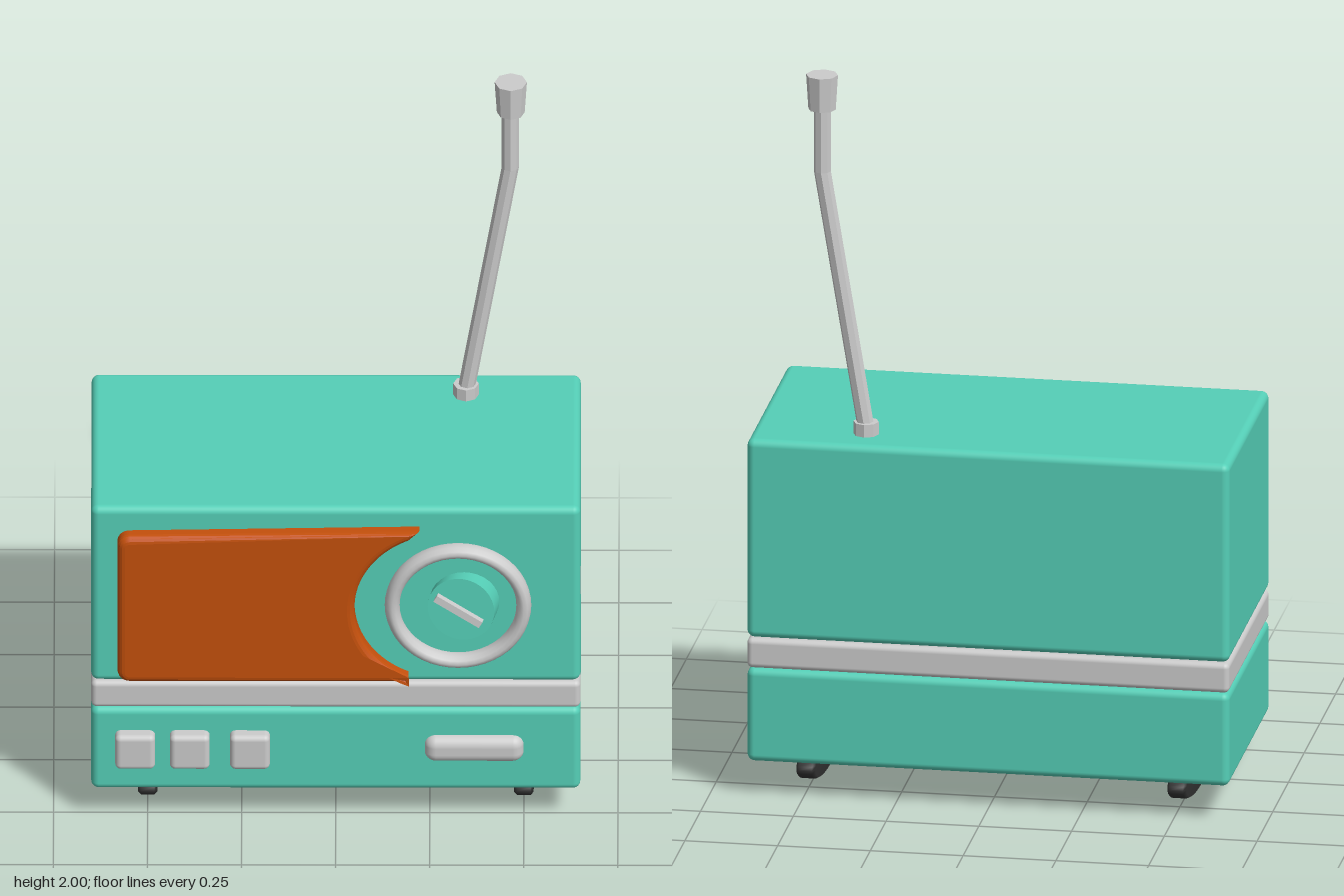
import * as THREE from 'three';
import { RoundedBoxGeometry } from 'three/addons/geometries/RoundedBoxGeometry.js';

const material = (color, flatShading = false) => new THREE.MeshStandardMaterial({ color, flatShading });

export function createModel() {
  const group = new THREE.Group();
  const teal = material(0x55cfb7);
  const orange = material(0xc4500c);
  const grey = material(0xcccccc);
  const greyFlat = material(0xcccccc, true);
  const dark = material(0x333333);

  const add = (name, geometry, mat, x = 0, y = 0, z = 0, parent = group) => {
    const mesh = new THREE.Mesh(geometry, mat);
    mesh.name = name;
    mesh.position.set(x, y, z);
    parent.add(mesh);
    return mesh;
  };
  // Rounded box given by its limits on each axis
  const box = (name, [x0, x1], [y0, y1], [z0, z1], r, mat) =>
    add(name, new RoundedBoxGeometry(x1 - x0, y1 - y0, z1 - z0, 4, r), mat,
      (x0 + x1) / 2, (y0 + y1) / 2, (z0 + z1) / 2);

  // Casing: upper box, trim band and lower box
  const wide = [-0.65, 0.65], deep = [-0.36, 0.29];
  box('upperCase', wide, [0.445, 1.0], deep, 0.02, teal);
  box('trimBand', wide, [0.36, 0.443], deep, 0.015, grey);
  box('lowerCase', wide, [0.098, 0.359], deep, 0.02, teal);

  // Speaker panel with a circular bite for the dial
  const bevel = 0.02;
  const x0 = -0.58 + bevel, x1 = 0.205, y0 = 0.465 + bevel, y1 = 0.93 - bevel;
  const cx = 0.287, cy = 0.6975, r = 0.237 + bevel, c = 0.015;
  const a = Math.atan2(y1 - cy, x1 - cx);
  const panel = new THREE.Shape();
  panel.moveTo(x0 + c, y0);
  panel.lineTo(cx + r * Math.cos(a), y0);
  panel.absarc(cx, cy, r, 2 * Math.PI - a, a, true);
  panel.lineTo(x0 + c, y1);
  panel.quadraticCurveTo(x0, y1, x0, y1 - c);
  panel.lineTo(x0, y0 + c);
  panel.quadraticCurveTo(x0, y0, x0 + c, y0);
  add('speakerPanel', new THREE.ExtrudeGeometry(panel, {
    depth: 0.03, bevelEnabled: true, bevelSize: bevel, bevelThickness: 0.02, bevelSegments: 4, curveSegments: 32,
  }), orange, 0, 0, 0.28);

  // Dial ring
  const ring = add('dialRing', new THREE.TorusGeometry(0.175, 0.02, 12, 48), grey, 0.325, 0.697, 0.297);
  ring.scale.z = 1.4;

  // Tilted tuning knob with its pointer bar
  const knob = new THREE.Group();
  knob.name = 'tuningKnob';
  knob.position.set(0.333, 0.712, 0.34);
  knob.lookAt(0.333 - 0.18, 0.712 + 0.13, 1.34);
  group.add(knob);
  add('knobBody', new THREE.CylinderGeometry(0.09, 0.092, 0.1, 32), teal, 0, 0, -0.05, knob).rotation.x = Math.PI / 2;
  add('knobPointer', new THREE.BoxGeometry(0.14, 0.02, 0.03), grey, -0.005, 0, 0.004, knob).rotation.z = -0.48;

  // Push buttons and the wide key
  for (const x of [-0.533, -0.388, -0.228]) {
    box('pushButton', [x - 0.053, x + 0.053], [0.183, 0.29], [0.25, 0.325], 0.015, grey);
  }
  box('wideKey', [0.236, 0.5], [0.196, 0.276], [0.22, 0.315], 0.03, grey);

  // Oval runner feet
  const footProfile = [[0, -0.026], [0.95, -0.026], [1, -0.018], [1, 0.018], [0.95, 0.026], [0, 0.026]]
    .map(([px, py]) => new THREE.Vector2(px, py));
  for (const side of [-1, 1]) {
    const foot = add('foot', new THREE.LatheGeometry(footProfile, 40), dark, side * 0.5, 0.064, -0.033);
    foot.material.flatShading = false;
    foot.rotation.z = Math.PI / 2;
    foot.scale.set(0.064, 1, 0.277);
  }

  // Antenna: socket, rod bent by shearing its rings, and tip
  const az = -0.255;
  add('antennaSocket', new THREE.CylinderGeometry(0.034, 0.034, 0.06, 8), greyFlat, 0.345, 1.005, az);
  const rod = new THREE.CylinderGeometry(0.023, 0.023, 1, 8, 2);
  const bend = [[0.341, 0.99], [0.463, 1.73], [0.463, 1.92]];
  const p = rod.attributes.position;
  for (let i = 0; i < p.count; i++) {
    const [bx, by] = bend[Math.round((p.getY(i) + 0.5) * 2)];
    p.setX(i, p.getX(i) + bx);
    p.setY(i, by);
  }
  rod.computeVertexNormals();
  add('antennaRod', rod, greyFlat, 0, 0, az);
  add('antennaTip', new THREE.CylinderGeometry(0.043, 0.037, 0.096, 8), greyFlat, 0.464, 1.952, az);

  return group;
}
